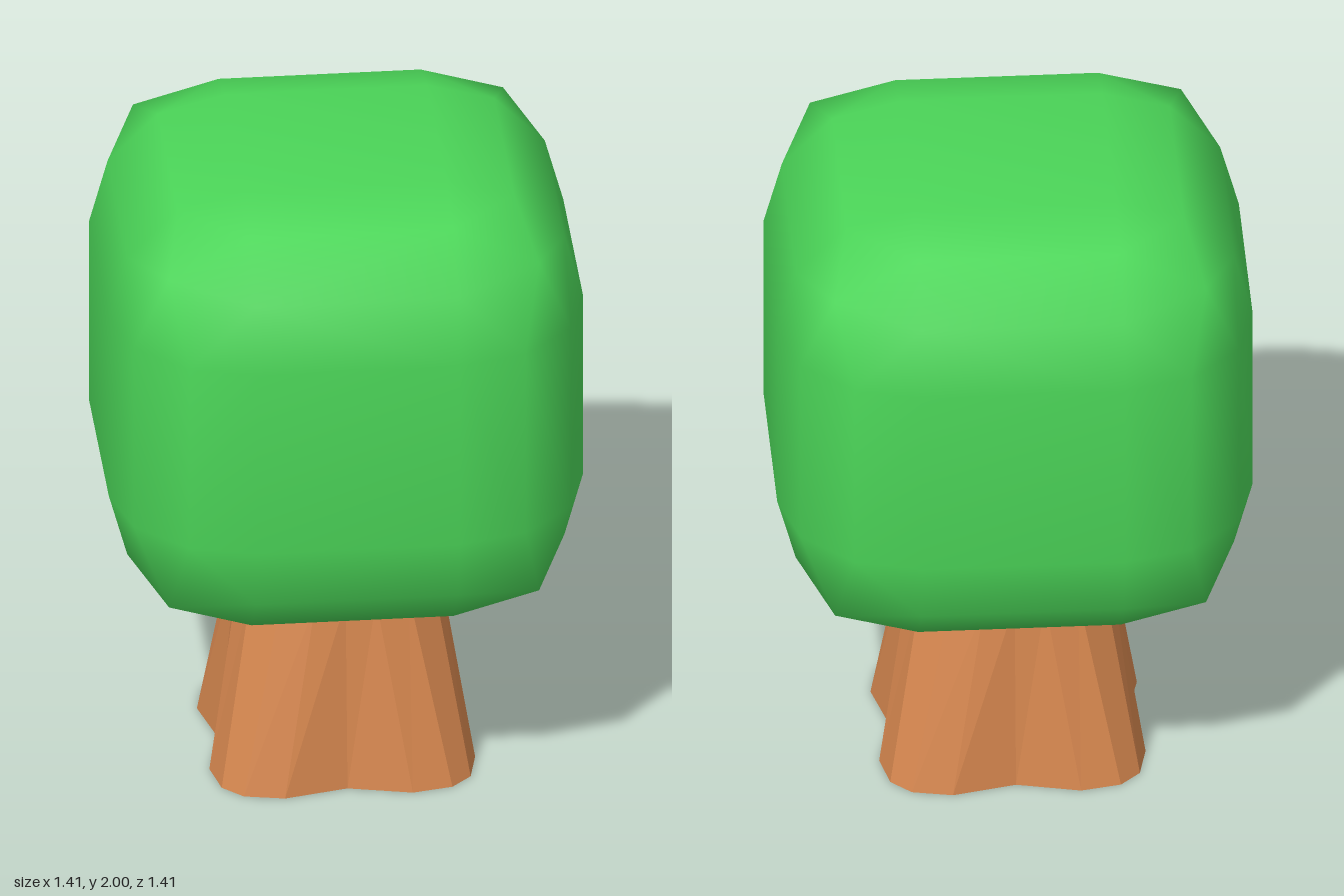
import * as THREE from 'three';
import { ConvexGeometry } from 'three/addons/geometries/ConvexGeometry.js';

const leafGreen = new THREE.MeshStandardMaterial({ color: 0x4bd558 });
const barkBrown = new THREE.MeshStandardMaterial({ color: 0xd6874f });

// Rounded cube: one octant's corner points, mirrored to all eight octants
function canopyGeometry() {
  const a = 0.3, b = 0.5, c = 0.65, d = 0.705, k = 0.55;
  const octant = [
    [d, a, a], [a, d, a], [a, a, d], [k, k, k],
    [c, b, a], [c, a, b], [b, c, a], [a, c, b], [b, a, c], [a, b, c],
  ];
  const points = [];
  for (const sx of [-1, 1]) for (const sy of [-1, 1]) for (const sz of [-1, 1])
    for (const [x, y, z] of octant) points.push(new THREE.Vector3(x * sx, y * sy, z * sz));
  const geometry = new ConvexGeometry(points);
  // Smooth normals that follow the gradient of a rounded cube
  const pos = geometry.attributes.position, normal = geometry.attributes.normal;
  const n = new THREE.Vector3();
  for (let i = 0; i < pos.count; i++) {
    n.fromBufferAttribute(pos, i);
    n.set(n.x ** 3, n.y ** 3, n.z ** 3).normalize();
    normal.setXYZ(i, n.x, n.y, n.z);
  }
  return geometry;
}

// Four-sided ring with rounded corners; each side starts at its middle
function trunkRing(y, side) {
  const ring = [];
  for (let q = 0; q < 4; q++) {
    const cos = Math.round(Math.cos(q * Math.PI / 2)), sin = Math.round(Math.sin(q * Math.PI / 2));
    for (const [x, z] of side) ring.push([x * cos + z * sin, y, z * cos - x * sin]);
  }
  return ring;
}

// Tapered trunk with slightly hollow sides at the foot, flat facets
function trunkGeometry() {
  const foot = trunkRing(0, [[0, 0.35], [0.19, 0.395], [0.31, 0.37], [0.37, 0.31], [0.395, 0.19]]);
  const top = trunkRing(0.6, [[0, 0.295], [0.09, 0.297], [0.19, 0.27], [0.27, 0.19], [0.297, 0.09]]);
  const v = [];
  foot.forEach((p, i) => {
    const j = (i + 1) % foot.length;
    v.push(...p, ...foot[j], ...top[j], ...p, ...top[j], ...top[i]);
    v.push(0, 0, 0, ...foot[j], ...p);
    v.push(0, 0.6, 0, ...top[i], ...top[j]);
  });
  const geometry = new THREE.BufferGeometry();
  geometry.setAttribute('position', new THREE.Float32BufferAttribute(v, 3));
  geometry.computeVertexNormals();
  return geometry;
}

export function createModel() {
  const tree = new THREE.Group();
  tree.name = 'tree';

  const canopy = new THREE.Mesh(canopyGeometry(), leafGreen);
  canopy.name = 'canopy';
  canopy.position.y = 1.295;

  const trunk = new THREE.Mesh(trunkGeometry(), barkBrown);
  trunk.name = 'trunk';

  tree.add(canopy, trunk);
  return tree;
}
